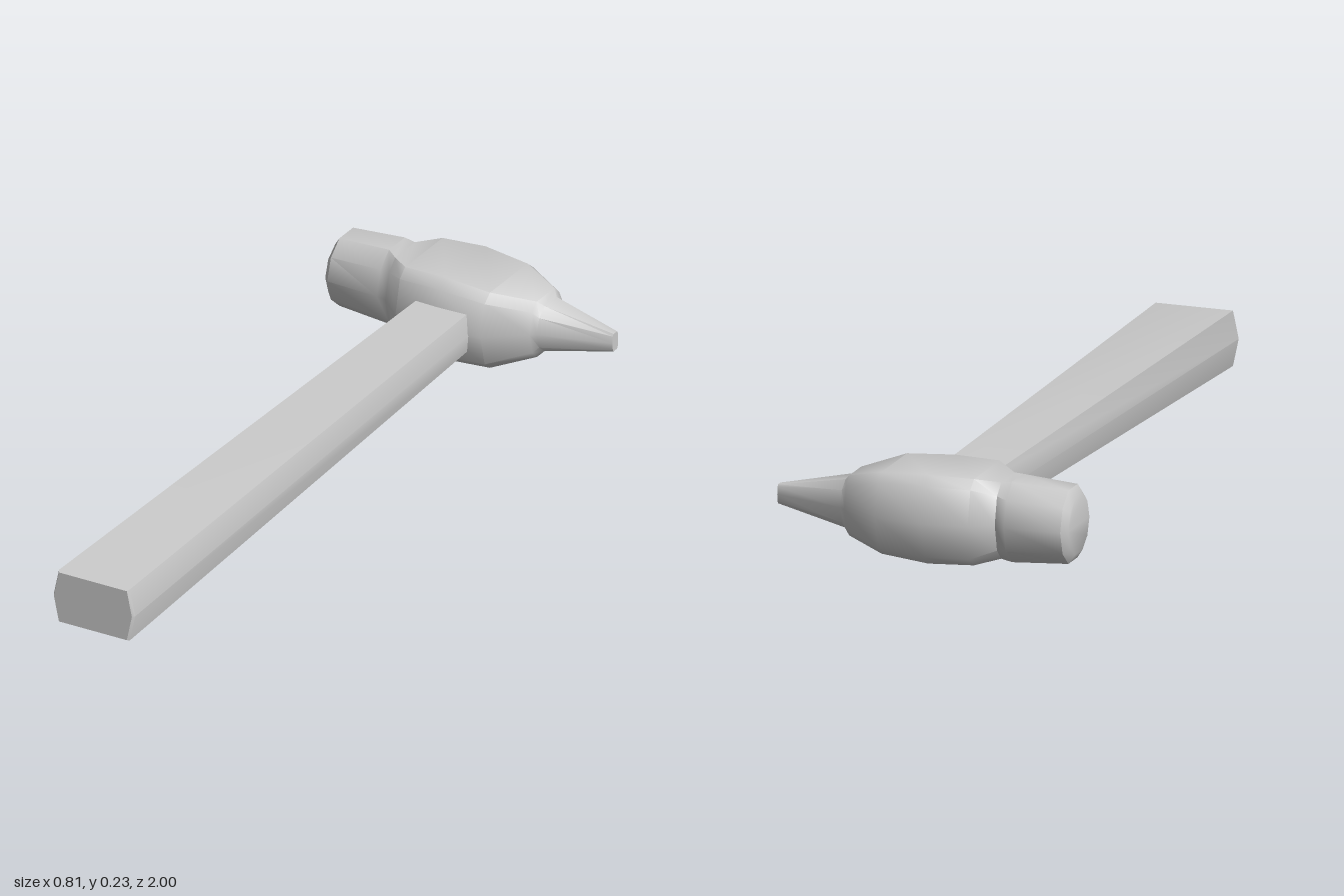
import * as THREE from 'three';
import { toCreasedNormals } from 'three/addons/utils/BufferGeometryUtils.js';

// Skin a list of rings (each an array of Vector3) and close both ends
function loft(rings, crease) {
  const pos = [];
  const tri = (a, b, c) => [a, b, c].forEach((p) => pos.push(p.x, p.y, p.z));
  const n = rings[0].length;
  for (let r = 0; r < rings.length - 1; r++) {
    for (let i = 0; i < n; i++) {
      const j = (i + 1) % n, a = rings[r], b = rings[r + 1];
      tri(a[i], a[j], b[j]);
      tri(a[i], b[j], b[i]);
    }
  }
  const first = rings[0], last = rings[rings.length - 1];
  for (let i = 1; i < n - 1; i++) {
    tri(first[0], first[i + 1], first[i]);
    tri(last[0], last[i], last[i + 1]);
  }
  const g = new THREE.BufferGeometry();
  g.setAttribute('position', new THREE.Float32BufferAttribute(pos, 3));
  return toCreasedNormals(g, crease);
}

// Ten-sided unit outline: round (k = 0) to boxy with bulging sides (k = 1)
function outline(k) {
  const mix = THREE.MathUtils.lerp;
  const q = [[mix(0.81, 0.85, k), mix(0.62, 0.8, k)], [mix(0.36, 0.66, k), 1]];
  const top = [[1, 0], q[0], q[1], [-q[1][0], 1], [-q[0][0], q[0][1]]];
  return [...top, ...top.map(([u, v]) => [-u, -v])];
}

export function createModel() {
  const model = new THREE.Group();
  const material = new THREE.MeshStandardMaterial({ color: 0xcccccc });
  const add = (name, geometry) => {
    const mesh = new THREE.Mesh(geometry, material);
    mesh.name = name;
    model.add(mesh);
  };

  // Head: x, y min, y max, z min, z max, boxiness; striking face to peen
  const sections = [
    [-0.405, 0.045, 0.192, -0.94, -0.785, 0],
    [-0.39, 0.022, 0.215, -0.957, -0.77, 0],
    [-0.24, 0.013, 0.225, -0.963, -0.763, 0.1],
    [-0.21, 0.019, 0.22, -0.948, -0.757, 0.5],
    [-0.15, 0.005, 0.232, -0.985, -0.705, 1],
    [-0.03, 0.001, 0.235, -1, -0.7, 1],
    [0.1, 0.011, 0.226, -0.985, -0.705, 1],
    [0.2, 0.04, 0.198, -0.94, -0.78, 0.6],
    [0.215, 0.055, 0.183, -0.93, -0.79, 0.2],
    [0.405, 0.095, 0.145, -0.875, -0.846, 0.8],
  ];
  const headRings = sections.map(([x, y0, y1, z0, z1, k]) => outline(k).map(([u, v]) =>
    // outline runs from -z over the top so that the skin faces outward
    new THREE.Vector3(x, (y0 + y1) / 2 + v * (y1 - y0) / 2, (z0 + z1) / 2 - u * (z1 - z0) / 2)));
  add('hammerHead', loft(headRings, 0.75));

  // Handle: six-sided, widening and dropping toward the grip end
  const handleRing = (z, cx, half, y0, y1) => {
    const flat = half * 0.87, mid = (y0 + y1) / 2;
    return [[half, mid], [flat, y1], [-flat, y1], [-half, mid], [-flat, y0], [flat, y0]]
      .map(([x, y]) => new THREE.Vector3(cx + x, y, z));
  };
  add('handle', loft([
    handleRing(-0.85, -0.021, 0.083, 0.064, 0.168),
    handleRing(0.992, -0.025, 0.12, 0.012, 0.158),
    handleRing(1, -0.025, 0.115, 0.015, 0.155),
  ], 0.6));

  return model;
}
